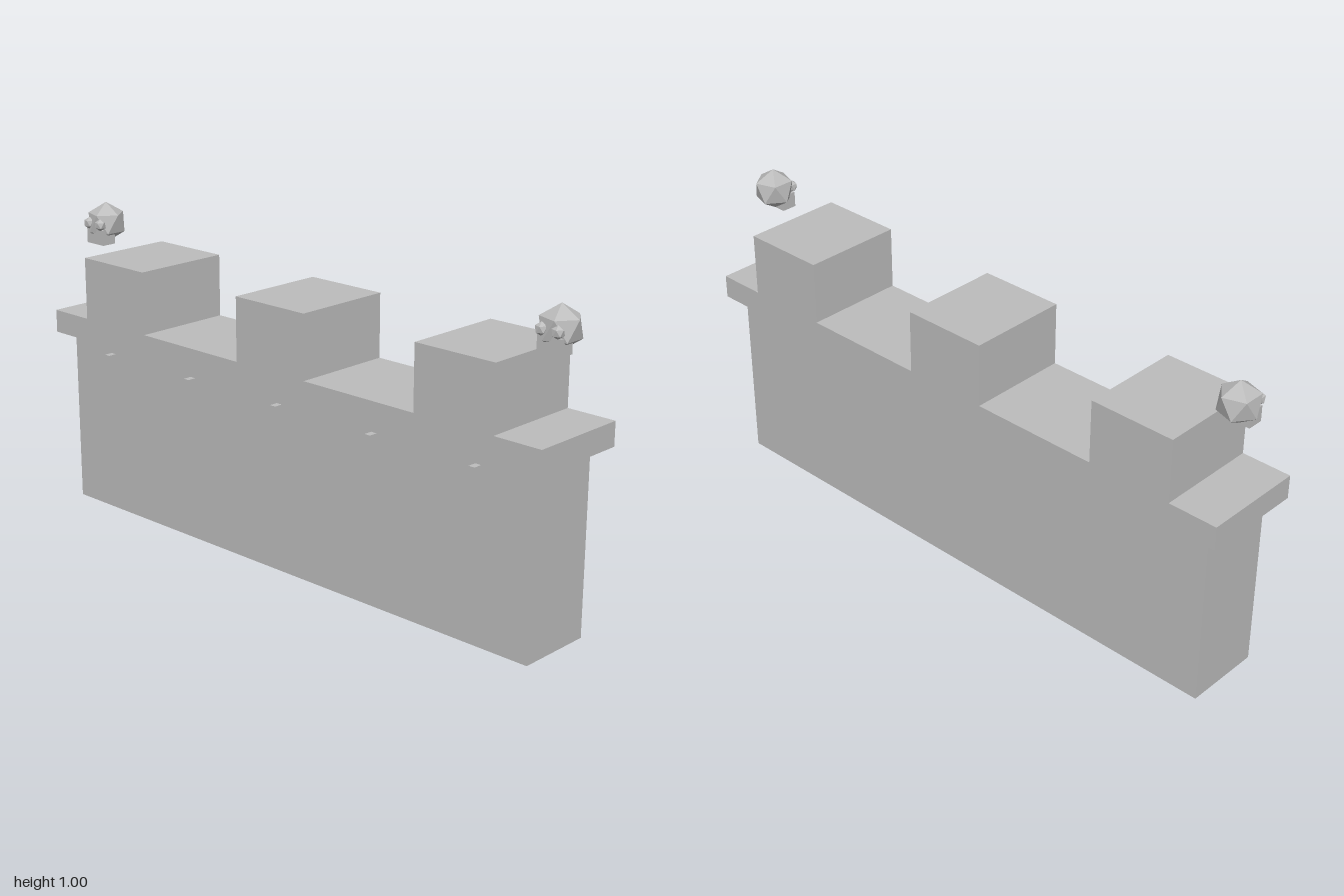
import * as THREE from 'three';

const stone = new THREE.MeshStandardMaterial({ color: 0xbcbcbc, flatShading: true });
stone.name = 'stone';

function addMesh(parent, name, geometry, x = 0, y = 0, z = 0) {
  const mesh = new THREE.Mesh(geometry, stone);
  mesh.name = name;
  mesh.position.set(x, y, z);
  parent.add(mesh);
  return mesh;
}

// Twenty-sided ball standing on a vertex: two offset rings of five plus poles
function icoBall(r) {
  const points = [new THREE.Vector3(0, r, 0)];
  const ring = (y, offset) => {
    for (let i = 0; i < 5; i++) {
      const a = offset + (i * Math.PI * 2) / 5;
      points.push(new THREE.Vector3(Math.cos(a) * 0.894 * r, y * r, -Math.sin(a) * 0.894 * r));
    }
  };
  ring(0.447, 0);
  ring(-0.447, Math.PI / 5);
  points.push(new THREE.Vector3(0, -r, 0));
  const index = [];
  for (let i = 0; i < 5; i++) {
    const j = (i + 1) % 5;
    const u = 1 + i, un = 1 + j, l = 6 + i, ln = 6 + j;
    index.push(0, u, un, u, l, un, un, l, ln, 11, ln, l);
  }
  const g = new THREE.BufferGeometry().setFromPoints(points);
  g.setIndex(index);
  const flat = g.toNonIndexed();
  flat.computeVertexNormals();
  return flat;
}

// Cap slab and merlons as one crenellated profile
function battlementGeometry() {
  const base = 0.575, ledge = 0.65, top = 0.853, half = 0.14, depth = 0.33;
  const s = new THREE.Shape();
  s.moveTo(-1, base);
  s.lineTo(1, base);
  s.lineTo(1, ledge);
  for (const x of [0.7, 0, -0.7]) {
    s.lineTo(x + half, ledge);
    s.lineTo(x + half, top);
    s.lineTo(x - half, top);
    s.lineTo(x - half, ledge);
  }
  s.lineTo(-1, ledge);
  s.closePath();
  return new THREE.ExtrudeGeometry(s, { depth, bevelEnabled: false }).translate(0, 0, -depth / 2);
}

function makeSkull(name, x) {
  const skull = new THREE.Group();
  skull.name = name;
  skull.position.set(x, 0.933, 0);
  addMesh(skull, 'cranium', icoBall(0.0667));
  addMesh(skull, 'jaw', new THREE.BoxGeometry(0.08, 0.05, 0.05), 0, -0.042, 0.025);
  for (const side of [-1, 1]) {
    addMesh(skull, side > 0 ? 'leftEye' : 'rightEye', icoBall(0.02), side * 0.027, 0, 0.049);
  }
  return skull;
}

export function createModel() {
  const model = new THREE.Group();
  model.name = 'battlementWall';

  addMesh(model, 'wall', new THREE.BoxGeometry(1.9, 0.575, 0.25), 0, 0.2875, 0);
  addMesh(model, 'battlement', battlementGeometry());

  // Upright ribs on the front face
  for (let i = -2; i <= 2; i++) {
    addMesh(model, 'rib', new THREE.BoxGeometry(0.021, 0.505, 0.03), i * 0.38, 0.2875, 0.138);
  }

  // Skulls above both ends
  model.add(makeSkull('rightSkull', -0.924), makeSkull('leftSkull', 0.924));
  return model;
}
